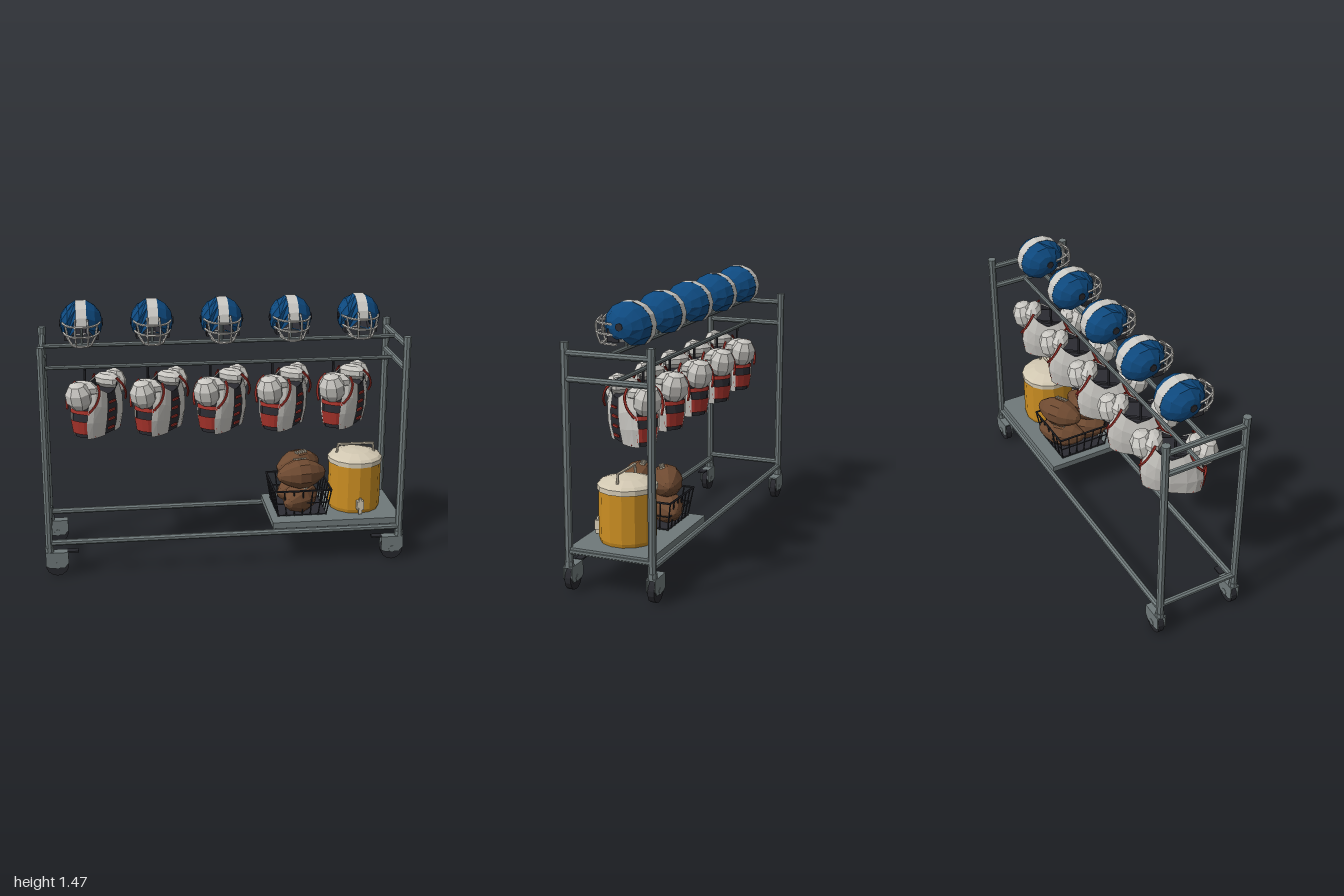
import * as THREE from 'three';

const mat = (name, color, side = THREE.FrontSide) => {
  const m = new THREE.MeshStandardMaterial({ color, side });
  m.name = name;
  return m;
};
const steel = mat('steel grey', 0x6f797a);
const blue = mat('helmet blue', 0x0e4a80, THREE.DoubleSide);
const white = mat('pad white', 0xc9c7c2, THREE.DoubleSide);
const dark = mat('dark lining', 0x2b2b31, THREE.DoubleSide);
const red = mat('strap red', 0xa5322a, THREE.DoubleSide);
const yellow = mat('cooler yellow', 0xcb8e22);
const cream = mat('cooler cream', 0xd2c8b2);
const brown = mat('ball brown', 0x6e4a31);
const rubber = mat('wheel black', 0x26272c);

const V = (x, y, z) => new THREE.Vector3(x, y, z);
const D = Math.PI / 180;

// Adds a faceted mesh to a parent
function add(parent, name, geo, material, x = 0, y = 0, z = 0) {
  const g = geo.index ? geo.toNonIndexed() : geo;
  g.computeVertexNormals();
  const m = new THREE.Mesh(g, material);
  m.name = name;
  m.position.set(x, y, z);
  parent.add(m);
  return m;
}
const box = (p, name, m, w, h, d, x, y, z) => add(p, name, new THREE.BoxGeometry(w, h, d), m, x, y, z);

// Straight round bar between two points
function bar(parent, name, m, a, b, r, sides = 8) {
  const g = new THREE.CylinderGeometry(r, r, a.distanceTo(b), sides);
  g.rotateY(Math.PI / sides);
  const mesh = add(parent, name, g, m);
  mesh.position.copy(a).add(b).multiplyScalar(0.5);
  mesh.quaternion.setFromUnitVectors(V(0, 1, 0), b.clone().sub(a).normalize());
  return mesh;
}
const tube = (parent, name, m, pts, r, n = 10) =>
  add(parent, name, new THREE.TubeGeometry(new THREE.CatmullRomCurve3(pts), n, r, 5), m);

// Grid surface: f(u, v) gives a point for u, v in 0..1
function surface(f, nu, nv) {
  const g = new THREE.PlaneGeometry(1, 1, nu, nv);
  const p = g.attributes.position;
  for (let i = 0; i < p.count; i++) {
    const q = f(p.getX(i) + 0.5, p.getY(i) + 0.5);
    p.setXYZ(i, q.x, q.y, q.z);
  }
  return g;
}

// Rolling frame: posts, rails and end bars
function frame() {
  const g = new THREE.Group();
  g.name = 'frame';
  for (const sx of [-1, 1]) {
    for (const sz of [-1, 1]) {
      bar(g, 'post', steel, V(sx * 0.977, 0.15, sz * 0.23), V(sx * 0.977, 1.285, sz * 0.23), 0.021);
      bar(g, 'postCap', steel, V(sx * 0.977, 1.25, sz * 0.23), V(sx * 0.977, 1.288, sz * 0.23), 0.023);
      g.add(caster(sx, sz));
    }
    for (const y of [0.22, 1.106, 1.236])
      bar(g, 'endBar', steel, V(sx * 0.977, y, -0.22), V(sx * 0.977, y, 0.22), 0.017);
  }
  for (const z of [-0.23, 0.23]) bar(g, 'bottomRail', steel, V(-0.97, 0.19, z), V(0.97, 0.19, z), 0.017);
  bar(g, 'helmetRail', steel, V(-0.97, 1.236, 0), V(0.97, 1.236, 0), 0.013);
  bar(g, 'hangingRail', steel, V(-0.97, 1.106, -0.03), V(0.97, 1.106, -0.03), 0.012);
  box(g, 'shelf', steel, 0.73, 0.035, 0.45, 0.625, 0.224, 0);
  return g;
}

// Caster with fork plates; the front ones carry a brake tab
function caster(sx, sz) {
  const g = new THREE.Group();
  g.name = 'caster';
  g.position.set(sx * 0.937, 0, sz * 0.23);
  const wheel = new THREE.CylinderGeometry(0.063, 0.063, 0.034, 14).rotateX(Math.PI / 2);
  add(g, 'wheel', wheel, rubber, 0, 0.063, 0);
  add(g, 'hub', new THREE.CylinderGeometry(0.02, 0.02, 0.056, 8).rotateX(Math.PI / 2), steel, 0, 0.063, 0);
  const s = new THREE.Shape([[-0.062, 0.136], [-0.062, 0.06], [-0.04, 0.048], [0.04, 0.048], [0.062, 0.075],
    [0.062, 0.136]].map(([x, y]) => new THREE.Vector2(x, y)));
  for (const z of [-0.026, 0.02])
    add(g, 'forkPlate', new THREE.ExtrudeGeometry(s, { depth: 0.006, bevelEnabled: false }), steel, 0, 0, z);
  box(g, 'forkTop', steel, 0.124, 0.008, 0.052, 0, 0.134, 0);
  bar(g, 'stem', steel, V(sx * 0.04, 0.13, 0), V(sx * 0.04, 0.165, 0), 0.025);
  if (sz > 0) box(g, 'brakeTab', rubber, 0.06, 0.008, 0.04, -sx * 0.088, 0.137, 0);
  return g;
}

// Helmet: ellipsoid patch around the ear axis, cut away for face and neck
function helmet(x) {
  const g = new THREE.Group();
  g.name = 'helmet';
  g.position.set(x, 1.355, -0.025);
  const patch = (lat0, lat1, nu, k) => surface((u, v) => {
    const lat = lat0 + (lat1 - lat0) * u;
    const t = Math.min(1, Math.abs(lat) / 60);
    const a = (25 - 115 * t) * (1 - v) + (215 + 55 * t) * v;
    const c = Math.cos(lat * D);
    return V(0.116 * Math.sin(lat * D), 0.124 * c * Math.sin(a * D), 0.133 * c * Math.cos(a * D)).multiplyScalar(k);
  }, nu, 9);
  add(g, 'shellRight', patch(-89, -14, 3, 1), blue);
  add(g, 'shellLeft', patch(14, 89, 3, 1), blue);
  add(g, 'stripe', patch(-14, 14, 1, 1.005), white);
  add(g, 'lining', patch(-89, 89, 7, 0.94), dark);
  for (const s of [-1, 1]) {
    add(g, 'earHole', new THREE.CylinderGeometry(0.02, 0.02, 0.008, 8).rotateZ(Math.PI / 2), dark, s * 0.113, 0.003, 0.01);
    box(g, 'jawPad', dark, 0.014, 0.065, 0.06, s * 0.083, -0.045, 0.055);
    // Upright cage bars
    tube(g, 'cageUpright', white, [V(s * 0.032, 0.045, 0.135), V(s * 0.034, 0.01, 0.17),
      V(s * 0.034, -0.045, 0.17), V(s * 0.03, -0.098, 0.152)], 0.006);
    bar(g, 'cageSide', white, V(s * 0.085, 0.012, 0.11), V(s * 0.075, -0.045, 0.11), 0.006, 5);
    bar(g, 'chinBrace', white, V(s * 0.085, -0.045, 0.07), V(s * 0.05, -0.095, 0.13), 0.006, 5);
  }
  // Cross bars of the cage
  for (const [y, w, zf] of [[0.012, 0.1, 0.172], [-0.042, 0.095, 0.175], [-0.096, 0.06, 0.16]])
    tube(g, 'cageBar', white, [V(-w, y, 0.05), V(-w * 0.85, y, 0.11), V(-w * 0.4, y, zf - 0.005),
      V(w * 0.4, y, zf - 0.005), V(w * 0.85, y, 0.11), V(w, y, 0.05)], 0.0065, 12);
  bar(g, 'stand', steel, V(0, -0.12, 0.025), V(0, 0.1, 0.025), 0.009);
  return g;
}

// Shoulder pads: dark vest, plates, caps, straps and laces, turned on the rail
function shoulderPads(x) {
  const set = new THREE.Group();
  set.name = 'shoulderPadSet';
  set.position.x = x;
  const g = new THREE.Group();
  g.name = 'shoulderPads';
  g.rotation.y = 52 * D;
  set.add(g);
  // Body wall: angle from the front, height fraction, outward scale
  const wall = (a, t, k) => {
    const s = Math.sin(a * D), c = Math.cos(a * D);
    const w = (0.165 + 0.02 * Math.sin(t * Math.PI) - 0.04 * t * t) * k;
    const d = (0.082 + 0.025 * Math.sin(t * 2.4)) * k;
    const top = 0.975 + 0.055 * Math.min(1, Math.abs(s) * 1.4);
    const e = (n) => Math.sign(n) * Math.abs(n) ** 0.75;
    return V(w * e(s), 0.747 + (top - 0.747) * t, d * e(c));
  };
  const plate = (name, m, a0, a1, t0, t1, k, nu, nv) =>
    add(g, name, surface((u, v) => wall(a0 + (a1 - a0) * u, t0 + (t1 - t0) * v, k), nu, nv), m);
  plate('vest', dark, -180, 180, 0.02, 0.98, 0.93, 16, 3);
  add(g, 'neckLining', new THREE.CylinderGeometry(0.125, 0.13, 0.012, 10).scale(1, 1, 0.72), dark, 0, 0.972, 0);
  plate('backPlate', white, 115, 245, 0, 1, 1, 6, 3);
  for (const s of [-1, 1]) {
    const [a, b] = s > 0 ? [9, 64] : [-64, -9];
    plate('chestPlate', white, a, b, 0, 1, 1, 3, 3);
    // Side straps and cross straps between the two plates
    const [c, d] = s > 0 ? [58, 122] : [-122, -58];
    plate('sideStrap', red, c, d, 0.1, 0.36, 0.985, 4, 1);
    plate('upperSideStrap', red, c, d, 0.5, 0.58, 0.985, 4, 1);
    box(g, 'crossStrap', red, 0.035, 0.012, 0.14, s * 0.1, 0.76, 0);
    // Shoulder cap, inner arch and red edging
    const cap = add(g, 'shoulderCap', new THREE.SphereGeometry(1, 8, 5), white, s * 0.158, 0.985, 0);
    cap.scale.set(0.07, 0.084, 0.078);
    cap.rotation.z = -s * 0.25;
    const arch = add(g, 'shoulderArch', new THREE.SphereGeometry(1, 8, 5), white, s * 0.105, 1.015, 0);
    arch.scale.set(0.05, 0.045, 0.088);
    for (const f of [-1, 1])
      tube(g, 'capEdging', red, [V(s * 0.085, 1.04, f * 0.075), V(s * 0.105, 1.005, f * 0.1),
        V(s * 0.135, 0.95, f * 0.1), V(s * 0.165, 0.905, f * 0.075)], 0.007, 8);
  }
  for (const y of [0.785, 0.835, 0.885, 0.935]) box(g, 'lace', red, 0.05, 0.011, 0.01, 0, y, 0.095 + (y - 0.785) * 0.08);
  box(g, 'hanger', dark, 0.2, 0.012, 0.014, 0, 0.985, -0.06);
  bar(set, 'hangerHook', dark, V(-0.06, 0.97, -0.03), V(-0.06, 1.11, -0.03), 0.007, 6);
  return set;
}

// Drinks cooler with domed lid, handle and tap
function cooler() {
  const g = new THREE.Group();
  g.name = 'cooler';
  g.position.set(0.765, 0.242, 0);
  const lathe = (pts) => new THREE.LatheGeometry(pts.map(([r, y]) => new THREE.Vector2(r, y)), 14);
  add(g, 'coolerBody', lathe([[0, 0], [0.142, 0], [0.148, 0.02], [0.148, 0.28], [0, 0.28]]), yellow);
  add(g, 'coolerLid', lathe([[0.14, 0.272], [0.155, 0.274], [0.155, 0.3], [0.14, 0.315], [0.08, 0.334], [0, 0.34]]), cream);
  for (const s of [-1, 1]) bar(g, 'handleArm', cream, V(s * 0.11, 0.3, 0.005), V(s * 0.1, 0.375, 0.005), 0.007, 6);
  bar(g, 'handleGrip', cream, V(-0.105, 0.372, 0.005), V(0.105, 0.372, 0.005), 0.008, 6);
  box(g, 'tap', cream, 0.04, 0.05, 0.03, 0, 0.06, 0.165);
  box(g, 'tapSpout', cream, 0.02, 0.04, 0.02, 0, 0.03, 0.172);
  box(g, 'tapLever', cream, 0.016, 0.025, 0.012, 0, 0.088, 0.17);
  return g;
}

// Wire basket with flared sides
function basket() {
  const g = new THREE.Group();
  g.name = 'basket';
  g.position.set(0.44, 0.245, 0);
  const corner = (i, h) => {
    const k = 0.85 + 0.15 * h;
    return V([-1, 1, 1, -1][i % 4] * 0.16 * k, h * 0.155, [1, 1, -1, -1][i % 4] * 0.165 * k);
  };
  box(g, 'basketFloor', dark, 0.27, 0.008, 0.28, 0, 0.004, 0);
  for (let i = 0; i < 4; i++) {
    for (const h of [0.03, 0.5, 1]) bar(g, 'basketHoop', rubber, corner(i, h), corner(i + 1, h), h === 1 ? 0.006 : 0.004, 5);
    for (let j = 0; j < 6; j++)
      bar(g, 'basketWire', rubber, corner(i, 0).lerp(corner(i + 1, 0), j / 6), corner(i, 1).lerp(corner(i + 1, 1), j / 6), 0.004, 5);
  }
  return g;
}

// Pointed ball with a row of laces
function ball(x, y, z, turn, roll) {
  const g = new THREE.Group();
  g.name = 'ball';
  g.position.set(x, y, z);
  g.rotation.set(roll, turn, 0, 'YXZ');
  const pts = [[0, -0.148], [0.03, -0.132], [0.062, -0.085], [0.084, -0.03], [0.084, 0.03], [0.062, 0.085], [0.03, 0.132], [0, 0.148]];
  add(g, 'ballSkin', new THREE.LatheGeometry(pts.map(([r, h]) => new THREE.Vector2(r, h)), 10).rotateZ(Math.PI / 2), brown);
  box(g, 'laceSeam', cream, 0.08, 0.006, 0.005, 0, 0.084, 0);
  for (let i = -2; i <= 2; i++) box(g, 'ballLace', cream, 0.005, 0.008, 0.028, i * 0.016, 0.084, 0);
  return g;
}

export function createModel() {
  const model = new THREE.Group();
  model.name = 'equipmentRack';
  model.add(frame(), cooler(), basket());
  for (let i = -2; i <= 2; i++) model.add(helmet(i * 0.38), shoulderPads(i * 0.345));
  model.add(ball(0.44, 0.475, 0.085, 0.2, -0.3), ball(0.45, 0.475, -0.08, 0.5, 0.3));
  model.add(ball(0.44, 0.33, 0.07, 0.85, 0.5), ball(0.44, 0.33, -0.075, 0.7, -0.4));
  return model;
}
